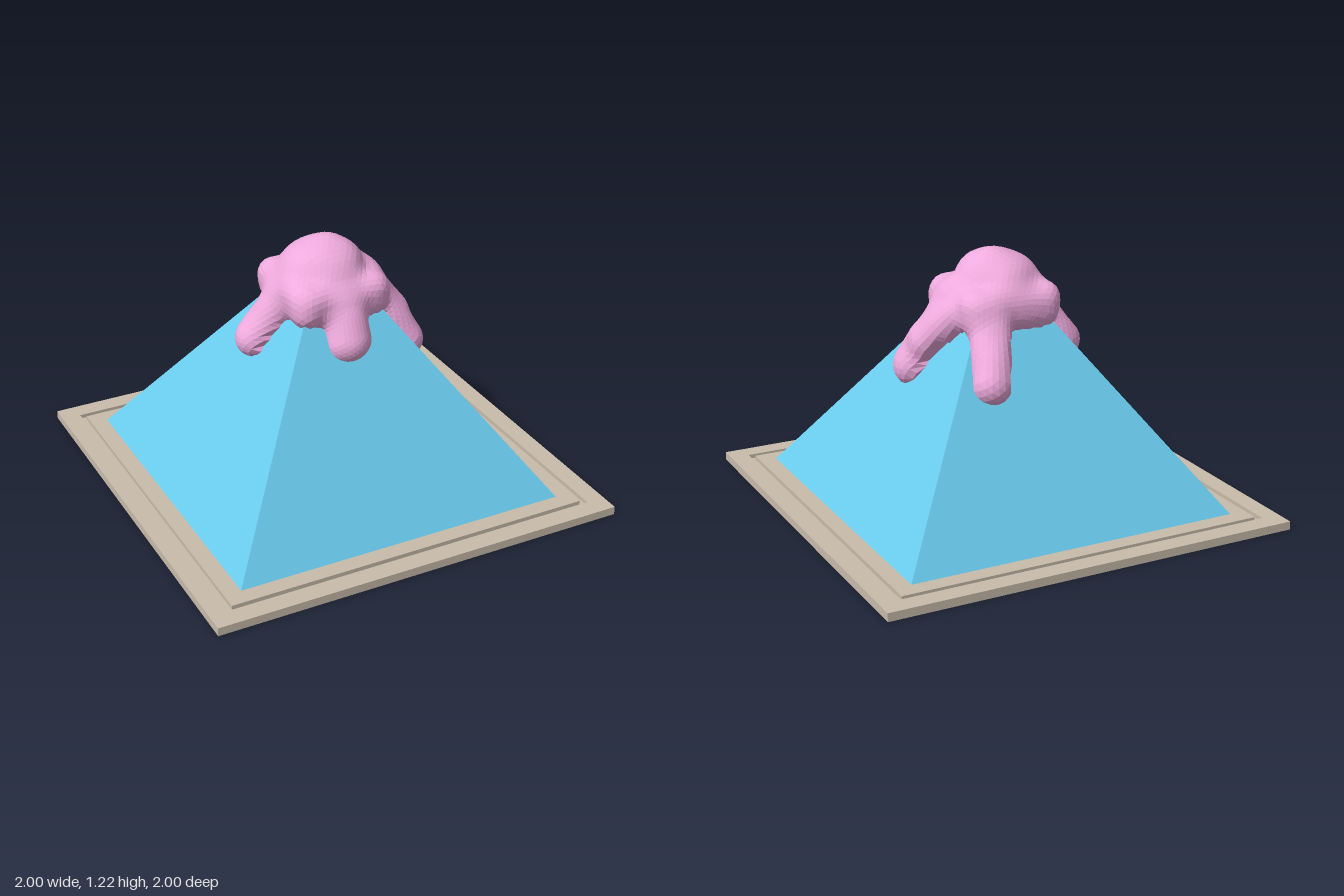
import * as THREE from 'three';

const V = (x, y, z) => new THREE.Vector3(x, y, z);
const material = (color) => new THREE.MeshStandardMaterial({ color, flatShading: true });

function add(group, name, geometry, mat) {
  const mesh = new THREE.Mesh(geometry, mat);
  mesh.name = name;
  group.add(mesh);
}

// Square slab lying flat, optionally with a square hole
function slab(half, y, height, hole) {
  const square = (path, h) => path.moveTo(-h, -h).lineTo(h, -h).lineTo(h, h).lineTo(-h, h).lineTo(-h, -h);
  const shape = square(new THREE.Shape(), half);
  if (hole) shape.holes.push(square(new THREE.Path(), hole));
  return new THREE.ExtrudeGeometry(shape, { depth: height, bevelEnabled: false })
    .rotateX(-Math.PI / 2).translate(0, y, 0);
}

// Runs of goo down the faces: start, end, radius
const drips = [
  [V(0, 0.95, 0.18), V(0, 0.8, 0.25), 0.105],
  [V(0.17, 0.98, 0.03), V(0.345, 0.675, 0.125), 0.105],
  [V(0.22, 0.93, -0.05), V(0.32, 0.8, 0.05), 0.08],
  [V(0.1, 0.97, -0.15), V(0.19, 0.685, -0.345), 0.095],
  [V(-0.18, 0.93, -0.03), V(-0.315, 0.745, -0.065), 0.095],
];
// Rounded mass over the peak, and a hidden core: centre, radius
const balls = [
  [V(0.03, 1.055, 0.02), 0.148],
  [V(-0.02, 0.99, 0), 0.215],
  [V(0, 0.75, 0), 0.19],
];

function smoothMin(a, b, k) {
  const h = Math.max(k - Math.abs(a - b), 0) / k;
  return Math.min(a, b) - h * h * k * 0.25;
}

// Signed distance to the goo
function gooDistance(p) {
  const q = V(Math.max(Math.abs(p.x) - 0.155, 0), Math.max(Math.abs(p.y - 0.965) - 0.015, 0),
    Math.max(Math.abs(p.z) - 0.155, 0));
  let d = q.length() - 0.095;
  for (const [c, r] of balls) d = smoothMin(d, p.distanceTo(c) - r, 0.04);
  for (const [a, b, r] of drips) {
    const near = new THREE.Line3(a, b).closestPointToPoint(p, true, V(0, 0, 0));
    d = smoothMin(d, p.distanceTo(near) - r, 0.04);
  }
  // Gentle lumps
  return d + 0.007 * Math.sin(p.x * 23 + 1) * Math.sin(p.y * 19) * Math.cos(p.z * 21 + 0.5);
}

// Sphere whose vertices are moved along their rays onto the outer goo surface
function gooGeometry() {
  const geometry = new THREE.IcosahedronGeometry(1, 17);
  const pos = geometry.attributes.position;
  const centre = V(0, 0.75, 0);
  const dir = V(0, 0, 0), p = V(0, 0, 0);
  for (let i = 0; i < pos.count; i++) {
    dir.fromBufferAttribute(pos, i).normalize();
    let t = 0.75;
    for (let step = 0; step < 60; step++) {
      const d = gooDistance(p.copy(centre).addScaledVector(dir, t));
      if (d < 0.0008 || t < 0.16) break;
      t -= Math.max(d * 0.8, 0.0006);
    }
    p.copy(centre).addScaledVector(dir, t);
    pos.setXYZ(i, p.x, p.y, p.z);
  }
  geometry.computeVertexNormals();
  return geometry;
}

export function createModel() {
  const model = new THREE.Group();

  // Base plate with a narrow square groove
  const base = new THREE.Group();
  base.name = 'base';
  const stone = material(0xc9bcac);
  add(base, 'basePlate', slab(1, 0, 0.02), stone);
  add(base, 'baseRim', slab(1, 0.02, 0.02, 0.91), stone);
  add(base, 'baseCentre', slab(0.885, 0.02, 0.02), stone);
  model.add(base);

  // Four-sided pyramid
  const pyramid = new THREE.ConeGeometry(0.805 * Math.SQRT2, 1.13, 4)
    .rotateY(Math.PI / 4).translate(0, 0.605, 0);
  add(model, 'pyramid', pyramid, material(0x6accee));

  // Goo dripping from the peak
  add(model, 'gooCap', gooGeometry(), material(0xeeaadd));
  return model;
}
